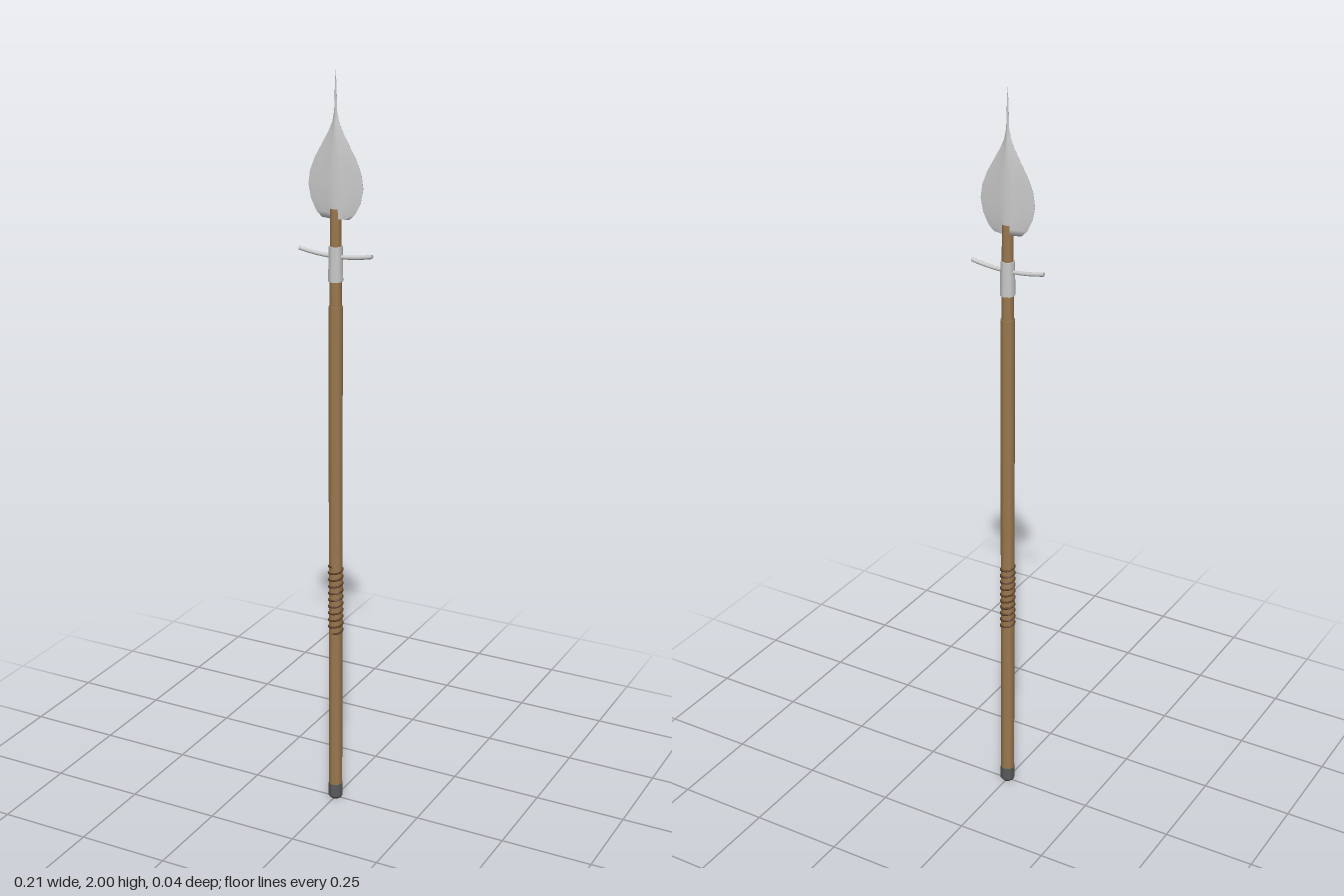
import * as THREE from 'three';

const mat = (color) => new THREE.MeshStandardMaterial({ color, side: THREE.DoubleSide });

// Leaf blade: rows of [height, half width, half thickness]
function bladeGeometry() {
  const rows = [
    [1.635, 0.038, 0.012], [1.65, 0.054, 0.012], [1.68, 0.069, 0.012],
    [1.715, 0.076, 0.011], [1.75, 0.071, 0.01], [1.785, 0.057, 0.009],
    [1.82, 0.037, 0.008], [1.85, 0.02, 0.007], [1.875, 0.009, 0.006],
    [1.9, 0.004, 0.006], [1.95, 0.0025, 0.004], [2.0, 0.0005, 0.001],
  ];
  // Hollow-ground section, counter-clockwise seen from below
  const quarter = [[1, 0.06], [0.6, 0.32], [0.25, 0.72], [0, 1]];
  const section = [
    ...quarter,
    ...quarter.slice(0, 3).reverse().map(([x, z]) => [-x, z]),
    ...quarter.map(([x, z]) => [-x, -z]),
    ...quarter.slice(0, 3).reverse().map(([x, z]) => [x, -z]),
  ];
  const n = section.length;
  const pos = [];
  const index = [];
  rows.forEach(([y, w, t]) => section.forEach(([x, z]) => pos.push(x * w, y, z * t)));
  for (let r = 0; r < rows.length - 1; r++) {
    for (let i = 0; i < n; i++) {
      const a = r * n + i, b = r * n + (i + 1) % n;
      index.push(a, a + n, b, b, a + n, b + n);
    }
  }
  // Close both ends
  const top = (rows.length - 1) * n;
  for (let i = 1; i < n - 1; i++) {
    index.push(0, i, i + 1, top, top + i + 1, top + i);
  }
  const g = new THREE.BufferGeometry();
  g.setAttribute('position', new THREE.Float32BufferAttribute(pos, 3));
  g.setIndex(index);
  g.computeVertexNormals();
  return g;
}

export function createModel() {
  const group = new THREE.Group();
  const wood = mat(0x9c7a50), steel = mat(0xcccccc), iron = mat(0x5c5c5e), leather = mat(0x5e4029);
  const add = (name, geometry, material) => {
    const mesh = new THREE.Mesh(geometry, material);
    mesh.name = name;
    group.add(mesh);
    return mesh;
  };
  // Eight-sided pole section between two heights
  const pole = (name, y0, y1, r0, r1, material) => {
    const g = new THREE.CylinderGeometry(r1, r0, y1 - y0, 8);
    add(name, g.translate(0, (y0 + y1) / 2, 0), material);
  };

  // Wooden pole, stepped down towards the head
  pole('shaft', 0.04, 1.41, 0.019, 0.019, wood);
  pole('upperShaft', 1.41, 1.66, 0.0165, 0.0145, wood);

  // Iron butt cap with bevelled foot
  pole('buttCap', 0.008, 0.045, 0.0205, 0.0205, iron);
  pole('buttCapFoot', 0, 0.008, 0.015, 0.0205, iron);

  // Spiral grip wrap
  const turns = 10, coil = [];
  for (let i = 0; i <= turns * 8; i++) {
    const a = (i / 8) * Math.PI * 2;
    coil.push(new THREE.Vector3(Math.sin(a) * 0.0185, 0.505 + 0.195 * i / (turns * 8), Math.cos(a) * 0.0185));
  }
  add('gripWrap', new THREE.TubeGeometry(new THREE.CatmullRomCurve3(coil), turns * 16, 0.003, 5), leather);

  // Collar and upswept crossbar
  pole('collar', 1.475, 1.565, 0.02, 0.0185, steel);
  const bar = new THREE.QuadraticBezierCurve3(
    new THREE.Vector3(-0.102, 1.549, 0), new THREE.Vector3(0, 1.527, 0), new THREE.Vector3(0.102, 1.549, 0));
  add('crossbar', new THREE.TubeGeometry(bar, 12, 0.0055, 8), steel);
  for (const s of [-1, 1]) {
    const cap = add('crossbarEnd', new THREE.CircleGeometry(0.0055, 8), steel);
    cap.position.set(s * 0.102, 1.549, 0);
    cap.rotation.set(0, s * Math.PI / 2, s * 0.21);
  }

  add('blade', bladeGeometry(), steel);
  return group;
}
